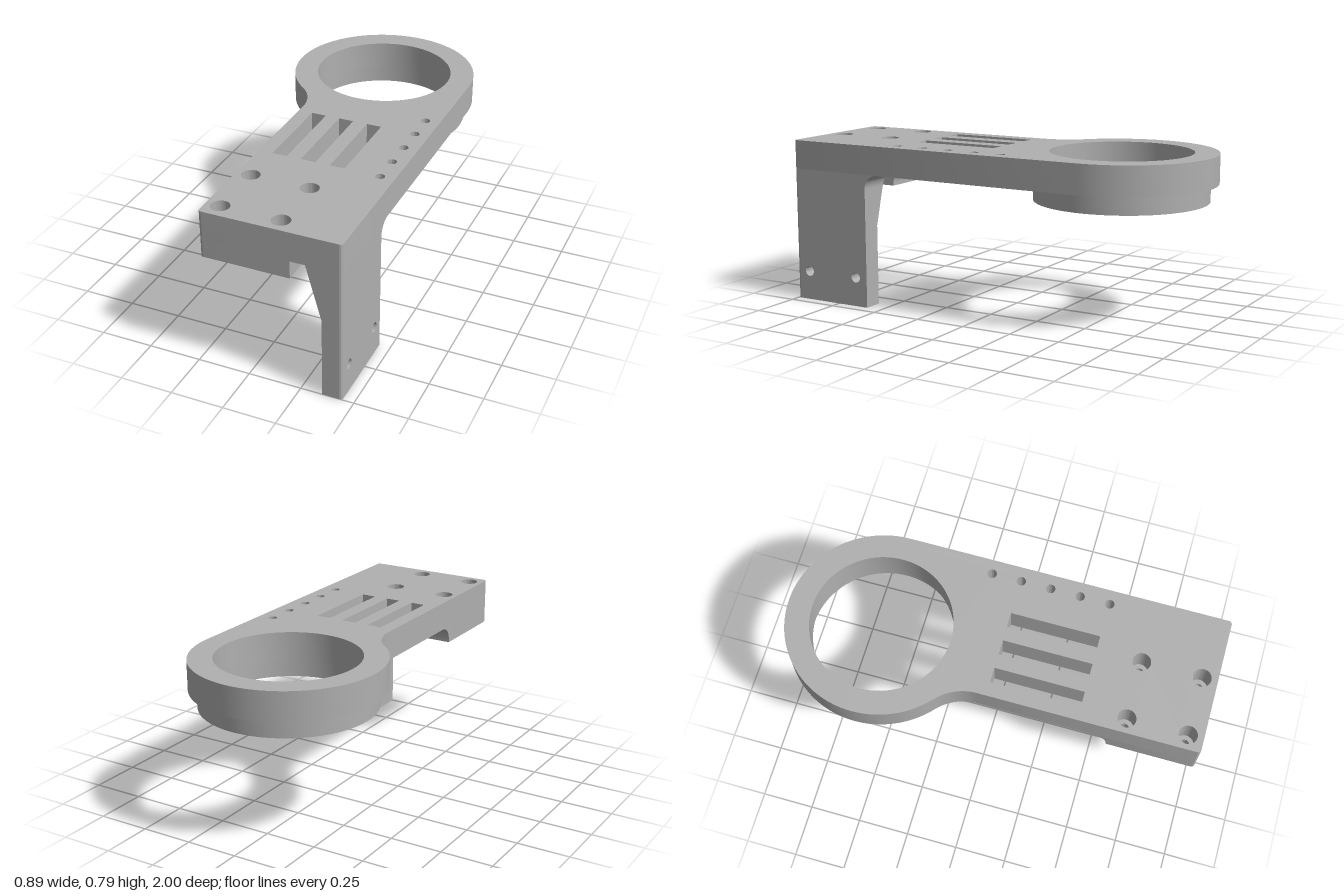
import * as THREE from 'three';
import { toCreasedNormals } from 'three/addons/utils/BufferGeometryUtils.js';

const TOP = 0.79, UNDER = 0.65, PAD = 0.565;   // plate top, plate underside, pad underside
const RIGHT = 0.447, LEFT = -0.21, BACK = 0.58; // side edges, rear of pad and leg
const RING_Z = -0.555, CORNER = 0.015, FILLET = 0.07;

export function createModel() {
  const group = new THREE.Group();
  const grey = new THREE.MeshStandardMaterial({ color: 0xb0b0b0 });
  grey.name = 'grey metal';

  const extrude = (shape, depth) =>
    new THREE.ExtrudeGeometry(shape, { depth, bevelEnabled: false, curveSegments: 40 });
  const add = (name, geometry) => {
    const mesh = new THREE.Mesh(toCreasedNormals(geometry, 0.5), grey);
    mesh.name = name;
    group.add(mesh);
  };
  // plan shapes use (x, -z) and rise along y; side shapes use (-z, y) and run along x
  const upright = (shape, y0, y1) => extrude(shape, y1 - y0).rotateX(-Math.PI / 2).translate(0, y0, 0);
  const sideways = (shape, x0, x1) => extrude(shape, x1 - x0).rotateY(Math.PI / 2).translate(x0, 0, 0);
  const circle = (u, v, r) => new THREE.Path().absarc(u, v, r, 0, Math.PI * 2, false);
  const rect = (u0, v0, u1, v1) => new THREE.Path([[u0, v0], [u1, v0], [u1, v1], [u0, v1]]
    .map(([u, v]) => new THREE.Vector2(u, v)));

  const screws = [];
  for (const x of [-0.142, 0.14]) for (const z of [0.645, 0.927]) screws.push([x, z]);

  // Top plate running into the ring
  const plate = new THREE.Shape();
  plate.moveTo(LEFT + CORNER, -1);
  plate.lineTo(RIGHT - CORNER, -1);
  plate.absarc(RIGHT - CORNER, -1 + CORNER, CORNER, -Math.PI / 2, 0, false);
  plate.lineTo(RIGHT, -RING_Z);
  plate.absarc(0, -RING_Z, RIGHT, 0, Math.PI + 0.857, false);
  plate.absarc(-0.45, 0.036, 0.24, 0.857, 0, true);
  plate.lineTo(LEFT, -1 + CORNER);
  plate.absarc(LEFT + CORNER, -1 + CORNER, CORNER, Math.PI, Math.PI * 1.5, false);
  plate.holes.push(circle(0, -RING_Z, 0.333));
  for (const x of [-0.142, -0.002, 0.139]) plate.holes.push(rect(x, -0.432, x + 0.071, -0.007));
  for (let i = 0; i < 5; i++) plate.holes.push(circle(0.378, 0.132 - i * 0.1415, 0.022));
  for (const [x, z] of screws) plate.holes.push(circle(x, -z, 0.043));
  add('topPlate', upright(plate, UNDER, TOP));

  // Collar under the ring, with a slightly wider bore
  const collar = new THREE.Shape().absarc(0, -RING_Z, 0.408, 0, Math.PI * 2, false);
  collar.holes.push(circle(0, -RING_Z, 0.355));
  add('ringCollar', upright(collar, PAD, UNDER));

  // Thick pad at the front with narrow screw holes
  const pad = new THREE.Shape();
  pad.moveTo(LEFT + CORNER, -1);
  pad.lineTo(-LEFT, -1);
  pad.lineTo(-LEFT, -BACK);
  pad.lineTo(LEFT, -BACK);
  pad.lineTo(LEFT, -1 + CORNER);
  pad.absarc(LEFT + CORNER, -1 + CORNER, CORNER, Math.PI, Math.PI * 1.5, false);
  for (const [x, z] of screws) pad.holes.push(circle(x, -z, 0.022));
  add('frontPad', upright(pad, PAD, UNDER));

  // Side profile with a concave fillet where it meets the plate
  const profile = (y0, front) => {
    const s = new THREE.Shape();
    s.moveTo(-front, y0);
    s.lineTo(-BACK, y0);
    s.lineTo(-BACK, UNDER - FILLET);
    s.absarc(-BACK + FILLET, UNDER - FILLET, FILLET, Math.PI, Math.PI / 2, true);
    s.lineTo(-front, UNDER);
    return s;
  };
  add('padFillet', sideways(profile(UNDER - FILLET, 0.6), LEFT, -LEFT));

  // Leg with two cross holes
  const INNER = 0.352, KNEE = 0.39;
  const leg = profile(0, 1 - CORNER);
  for (const z of [0.645, 0.927]) leg.holes.push(circle(-z, 0.142, 0.025));
  add('leg', sideways(leg, INNER, RIGHT));

  // Front strip of the leg with its rounded corner
  const strip = new THREE.Shape();
  strip.moveTo(INNER, -1);
  strip.lineTo(RIGHT - CORNER, -1);
  strip.absarc(RIGHT - CORNER, -1 + CORNER, CORNER, -Math.PI / 2, 0, false);
  strip.lineTo(INNER, -1 + CORNER);
  add('legFrontEdge', upright(strip, 0, UNDER));

  // Gusset: the inner face slopes out toward the plate
  const gusset = sideways(profile(KNEE, 1), 0.28, INNER);
  const p = gusset.attributes.position;
  for (let i = 0; i < p.count; i++) {
    if (p.getX(i) < 0.3) p.setX(i, INNER - (p.getY(i) - KNEE) * (INNER - 0.28) / (UNDER - KNEE));
  }
  add('legGusset', gusset);

  return group;
}
